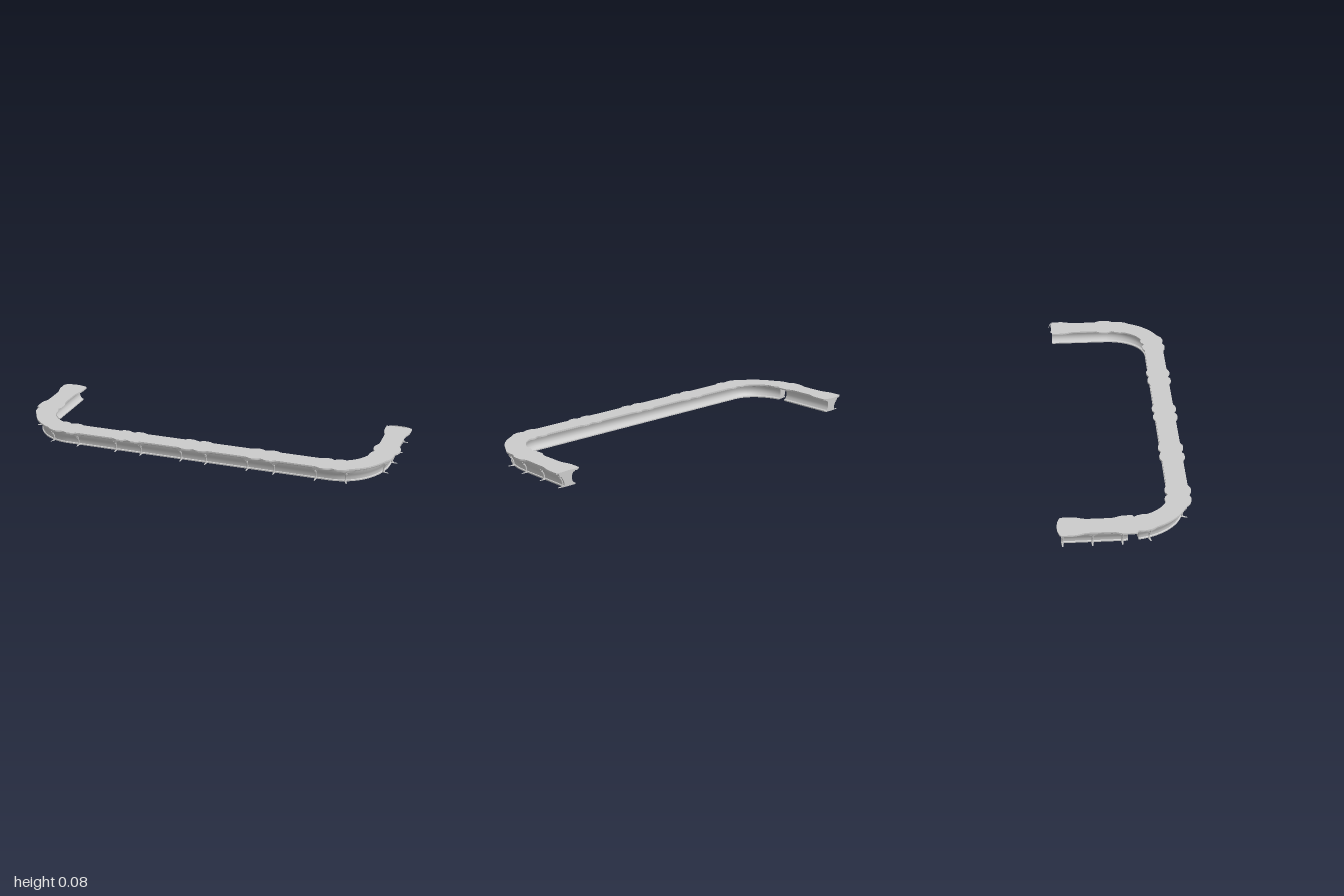
import * as THREE from 'three';
import { toCreasedNormals, mergeGeometries } from 'three/addons/utils/BufferGeometryUtils.js';

const V = (x, z) => new THREE.Vector3(x, 0, z);

// Centre line of the U-shaped counter, from the left end round to the right end
function makePath() {
  const path = new THREE.CurvePath();
  path.add(new THREE.LineCurve3(V(0.932, -0.312), V(0.932, 0)));
  path.add(new THREE.CubicBezierCurve3(V(0.932, 0), V(0.93, 0.13), V(0.85, 0.262), V(0.7, 0.262)));
  path.add(new THREE.LineCurve3(V(0.7, 0.262), V(-0.7, 0.262)));
  path.add(new THREE.CubicBezierCurve3(V(-0.7, 0.262), V(-0.85, 0.262), V(-0.93, 0.13), V(-0.932, 0)));
  path.add(new THREE.LineCurve3(V(-0.932, 0), V(-0.932, -0.312)));
  const n = 420, frames = [];
  for (let i = 0; i <= n; i++) {
    const p = path.getPointAt(i / n), t = path.getTangentAt(i / n);
    frames.push({ p, nx: t.z, nz: -t.x });
  }
  return frames;
}

const at = (f, o, y) => [f.p.x + f.nx * o, y, f.p.z + f.nz * o];

// Sweep a closed counter-clockwise profile [[offset, height], ...] along frames
function sweep(frames, profileAt) {
  const pos = [], idx = [];
  const rows = frames.map(profileAt), m = rows[0].length, last = frames.length - 1;
  frames.forEach((f, i) => rows[i].forEach(([o, y]) => pos.push(...at(f, o, y))));
  for (let i = 0; i < last; i++) {
    for (let j = 0; j < m; j++) {
      const a = i * m + j, b = i * m + (j + 1) % m;
      idx.push(a, b, a + m, b, b + m, a + m);
    }
  }
  for (const [r, flip] of [[0, true], [last, false]]) {
    const pts = rows[r].map(([o, y]) => new THREE.Vector2(o, y));
    for (const [a, b, c] of THREE.ShapeUtils.triangulateShape(pts, [])) {
      idx.push(r * m + a, r * m + (flip ? c : b), r * m + (flip ? b : c));
    }
  }
  const g = new THREE.BufferGeometry();
  g.setAttribute('position', new THREE.Float32BufferAttribute(pos, 3));
  g.setIndex(idx);
  return toCreasedNormals(g, 0.5);
}

const bump = (d, w) => Math.exp(-((d / w) ** 4));

// Half width of the top: scalloped in pairs along the front, flared on the arms
function topHalfWidth({ p }) {
  const ax = Math.abs(p.x);
  let h = 0.052;
  if (p.z > 0.2 && ax < 0.82) {
    for (const c of [0.04, 0.32, 0.4, 0.68, 0.755]) h += 0.012 * bump(ax - c, 0.028);
  } else if (p.x < 0 && p.z < 0.04) {
    h += 0.016 * Math.max(bump(p.z + 0.29, 0.075), bump(p.z - 0.01, 0.06));
  } else {
    h += 0.016 * Math.max(bump(p.z + 0.29, 0.075), bump(p.z + 0.01, 0.04)) + 0.008 * bump(p.z - 0.08, 0.03);
  }
  return h;
}

function makeTop(frames) {
  const outer = [], inner = [];
  const put = (list, f, o) => {
    const [x, , z] = at(f, o, 0);
    list.push(new THREE.Vector2(x, -z));
  };
  for (const f of frames) {
    const h = topHalfWidth(f);
    put(outer, f, h);
    put(inner, f, -h);
  }
  // Rounded nose at the end of each arm
  const nose = (s) => [[0.056, -0.32], [0.03, -0.328], [0, -0.331], [-0.03, -0.328], [-0.056, -0.32]]
    .map(([dx, z]) => new THREE.Vector2(s * 0.932 + dx, -z));
  const pts = [...outer, ...nose(-1).reverse(), ...inner.reverse(), ...nose(1)];
  const g = new THREE.ExtrudeGeometry(new THREE.Shape(pts), { depth: 0.008, bevelEnabled: false });
  g.rotateX(-Math.PI / 2);
  g.translate(0, 0.072, 0);
  return toCreasedNormals(g, 0.6);
}

// Curved post with a splayed foot and a small capital; +z points outward
function makePost() {
  const curve = new THREE.CatmullRomCurve3([
    [0.047, 0.062], [0.039, 0.048], [0.03, 0.032], [0.026, 0.017], [0.028, 0.004],
  ].map(([o, y]) => new THREE.Vector3(0, y, o)));
  const shaft = new THREE.TubeGeometry(curve, 14, 0.0042, 8);
  const ring = (r1, r2, h, y, z) => new THREE.CylinderGeometry(r1, r2, h, 10).translate(0, y, z);
  const toe = new THREE.CylinderGeometry(0.003, 0.006, 0.03, 8);
  toe.rotateX(Math.PI / 2).scale(1, 0.4, 1).translate(0, 0.0024, 0.038);
  return mergeGeometries([
    shaft,
    ring(0.008, 0.005, 0.007, 0.053, 0.042),
    ring(0.006, 0.006, 0.003, 0.046, 0.038),
    ring(0.0055, 0.0065, 0.006, 0.007, 0.027),
    toe,
  ]);
}

export function createModel() {
  const group = new THREE.Group();
  group.name = 'barCounter';
  const material = new THREE.MeshStandardMaterial({ color: 0xcccccc });
  const add = (name, geometry) => {
    const mesh = new THREE.Mesh(geometry, material);
    mesh.name = name;
    group.add(mesh);
    return mesh;
  };
  const frames = makePath();

  // Post positions, mirrored left and right, snapped to the centre line
  const posts = [];
  for (const s of [1, -1]) {
    for (const x of [0.07, 0.29, 0.425, 0.64, 0.785]) posts.push(V(s * x, 0.262));
    for (const z of [-0.306, -0.168, -0.028, 0.1]) posts.push(V(s * 0.932, z));
  }
  const postFrames = posts.map((q) => frames.reduce((a, b) =>
    b.p.distanceToSquared(q) < a.p.distanceToSquared(q) ? b : a));

  // Hollow-sided body whose upper lip arches between the posts
  const bodyProfile = (f) => {
    const d = Math.min(...postFrames.map((q) => q.p.distanceTo(f.p)));
    const lip = 0.066 - 0.012 * Math.exp(-((d / 0.026) ** 2));
    return [
      [-0.046, 0.007], [-0.046, 0.001], [0.024, 0.001], [0.024, 0.007],
      [0.019, 0.009], [0.02, 0.022], [0.025, 0.036], [0.032, 0.047], [0.036, lip - 0.001],
      [0.046, lip], [0.05, 0.0725],
      [-0.046, 0.0725], [-0.044, 0.066], [-0.033, 0.062], [-0.027, 0.05],
      [-0.025, 0.036], [-0.028, 0.022], [-0.036, 0.011],
    ];
  };
  // The right arm stands apart from the main run
  const isArm = ({ p }) => p.x < 0 && p.z < 0.005;
  const isGap = ({ p }) => p.x < 0 && p.z >= 0.005 && p.z < 0.045;
  add('mainBody', sweep(frames.filter((f) => !isArm(f) && !isGap(f)), bodyProfile));
  add('rightArmBody', sweep(frames.filter(isArm), bodyProfile));

  add('counterTop', makeTop(frames));

  const postGeometry = makePost();
  for (const f of postFrames) {
    const post = add('post', postGeometry);
    post.position.copy(f.p);
    post.rotation.y = Math.atan2(f.nx, f.nz);
  }
  return group;
}
